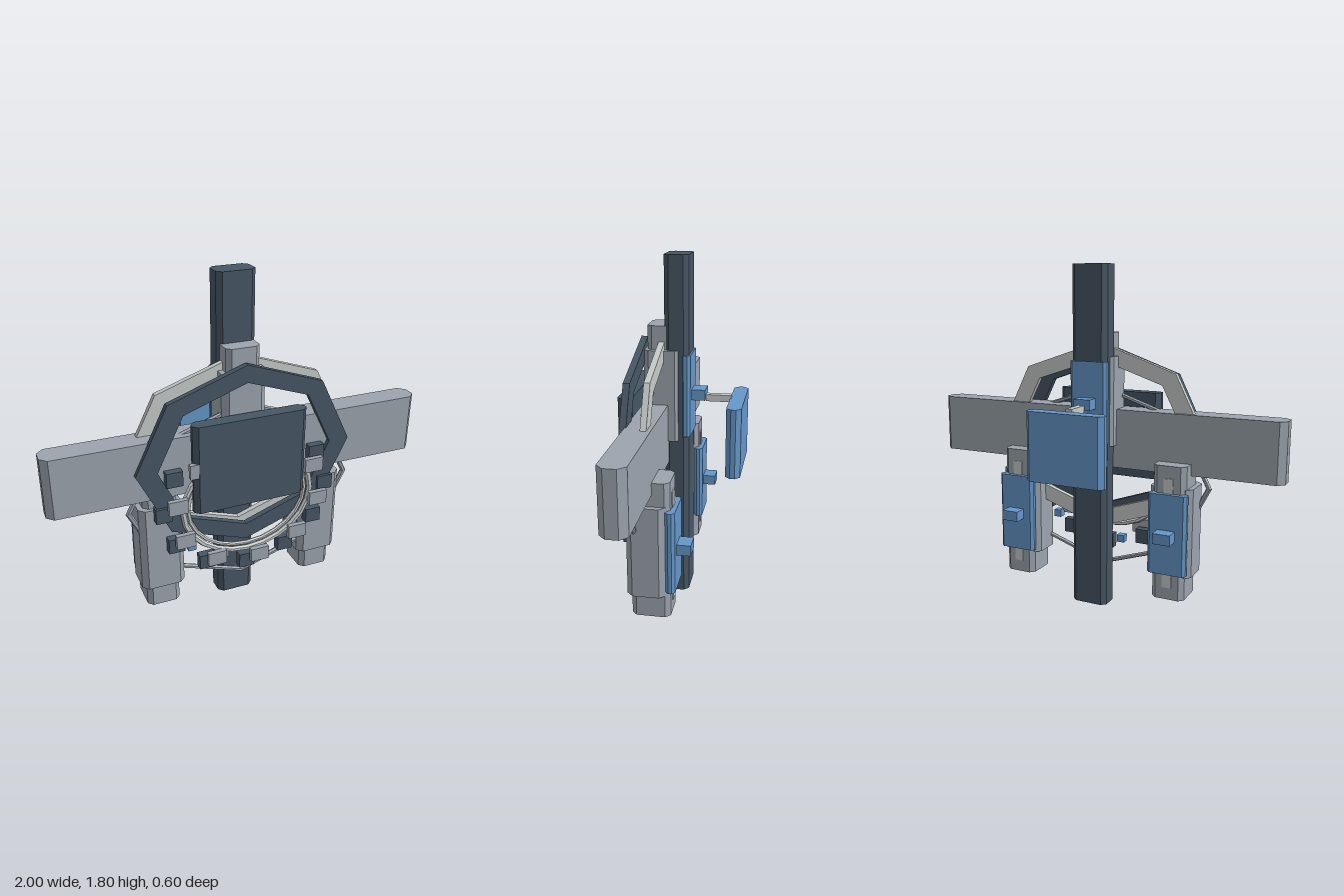
import * as THREE from 'three';

const mat = (name, color) => Object.assign(new THREE.MeshStandardMaterial({ color }), { name });

export function createModel() {
  const model = new THREE.Group();
  model.name = 'model';
  const dark = mat('dark slate', 0x465664);
  const grey = mat('steel grey', 0x9ca4ae);
  const pale = mat('pale grey', 0xc6cbca);
  const blue = mat('blue', 0x6597c9);

  function add(name, geometry, material, x = 0, y = 0, z = 0, parent = model) {
    const mesh = new THREE.Mesh(geometry, material);
    mesh.name = name;
    mesh.position.set(x, y, z);
    parent.add(mesh);
    return mesh;
  }

  // Block given by its ranges, with upright edges cut off by c
  function block(name, material, [x0, x1], [y0, y1], [z0, z1], c = 0, parent = model) {
    const w = (x1 - x0) / 2, d = (z1 - z0) / 2, h = y1 - y0;
    let geometry;
    if (c > 0) {
      const shape = new THREE.Shape([
        [-w + c, -d], [w - c, -d], [w, -d + c], [w, d - c],
        [w - c, d], [-w + c, d], [-w, d - c], [-w, -d + c],
      ].map(([x, y]) => new THREE.Vector2(x, y)));
      geometry = new THREE.ExtrudeGeometry(shape, { depth: h, bevelEnabled: false });
      geometry.rotateX(-Math.PI / 2).translate(0, -h / 2, 0);
    } else {
      geometry = new THREE.BoxGeometry(w * 2, h, d * 2);
    }
    return add(name, geometry, material, (x0 + x1) / 2, (y0 + y1) / 2, (z0 + z1) / 2, parent);
  }

  // Flat eight-sided frame with an opening
  function octagonFrame(name, material, outer, inner, y, [z0, z1]) {
    const points = ([rx, ry]) => Array.from({ length: 8 }, (_, i) =>
      new THREE.Vector2(rx * Math.cos(i * Math.PI / 4), ry * Math.sin(i * Math.PI / 4)));
    const shape = new THREE.Shape(points(outer));
    shape.holes.push(new THREE.Path(points(inner)));
    add(name, new THREE.ExtrudeGeometry(shape, { depth: z1 - z0, bevelEnabled: false }),
      material, 0, y, z0);
  }

  // Oval hoop
  function hoop(name, material, rx, ry, tube, sides, y, z) {
    const geometry = new THREE.TorusGeometry(rx, tube, 6, sides).toNonIndexed();
    geometry.scale(1, ry / rx, 1);
    geometry.computeVertexNormals();
    add(name, geometry, material, 0, y, z);
  }

  // Small blocks spaced evenly around an oval, angles measured from the bottom
  function beads(name, material, count, start, rx, ry, [w, h], [z0, z1]) {
    const group = new THREE.Group();
    group.name = name + 's';
    for (let i = 0; i < count; i++) {
      const a = (start + i * 360 / count) * Math.PI / 180;
      add(name, new THREE.BoxGeometry(w, h, z1 - z0), material,
        rx * Math.sin(a), 0.67 - ry * Math.cos(a), (z0 + z1) / 2, group);
    }
    model.add(group);
  }

  // Column with sleeve, rail, back pad and knob
  function column(name, x, y) {
    const group = new THREE.Group();
    group.name = name;
    group.position.set(x, y, 0);
    model.add(group);
    block('columnCore', grey, [-0.088, 0.088], [-0.355, 0.355], [-0.004, 0.19], 0.025, group);
    block('columnSleeve', grey, [-0.115, 0.115], [-0.235, 0.235], [0.015, 0.208], 0.03, group);
    block('columnRail', pale, [-0.025, 0.025], [-0.29, 0.29], [-0.01, -0.004], 0, group);
    block('backPad', blue, [-0.104, 0.104], [-0.212, 0.212], [-0.03, 0.018], 0.015, group);
    block('padKnob', blue, [-0.047, 0.047], [-0.03, 0.025], [-0.1, -0.03], 0, group);
  }

  // Main cross
  block('pole', dark, [-0.1, 0.1], [0, 1.805], [-0.022, 0.102], 0.025);
  block('crossBeam', grey, [-1, 1], [0.75, 1.062], [0.08, 0.21], 0.035);

  // Columns
  column('leftColumn', 0.445, 0.455);
  column('rightColumn', -0.445, 0.455);
  column('centreColumn', 0, 1.105);

  // Rear panel on its arm
  block('rearArm', pale, [-0.018, 0.018], [1.065, 1.1], [-0.23, -0.1]);
  block('rearPanel', blue, [-0.217, 0.217], [0.725, 1.085], [-0.3, -0.225], 0.025);

  // Front panel and frames
  block('frontPanel', dark, [-0.3, 0.3], [0.67, 1.14], [0.225, 0.297], 0.025);
  octagonFrame('frontFrame', dark, [0.575, 0.485], [0.465, 0.395], 0.905, [0.202, 0.235]);
  octagonFrame('rearFrame', pale, [0.61, 0.505], [0.51, 0.415], 0.905, [0.1, 0.13]);

  // Thin hoops
  hoop('outerHoop', grey, 0.604, 0.494, 0.015, 8, 0.67, 0.165);
  hoop('beadHoop', pale, 0.35, 0.292, 0.016, 24, 0.67, 0.255);
  hoop('innerHoop', pale, 0.322, 0.268, 0.012, 24, 0.67, 0.245);

  // Rings of small blocks
  beads('darkBead', dark, 12, 0, 0.445, 0.38, [0.085, 0.08], [0.205, 0.25]);
  beads('greyBead', grey, 10, 8, 0.39, 0.33, [0.1, 0.076], [0.27, 0.296]);
  beads('blueBead', blue, 12, 15, 0.41, 0.357, [0.042, 0.04], [0.165, 0.205]);

  return model;
}
